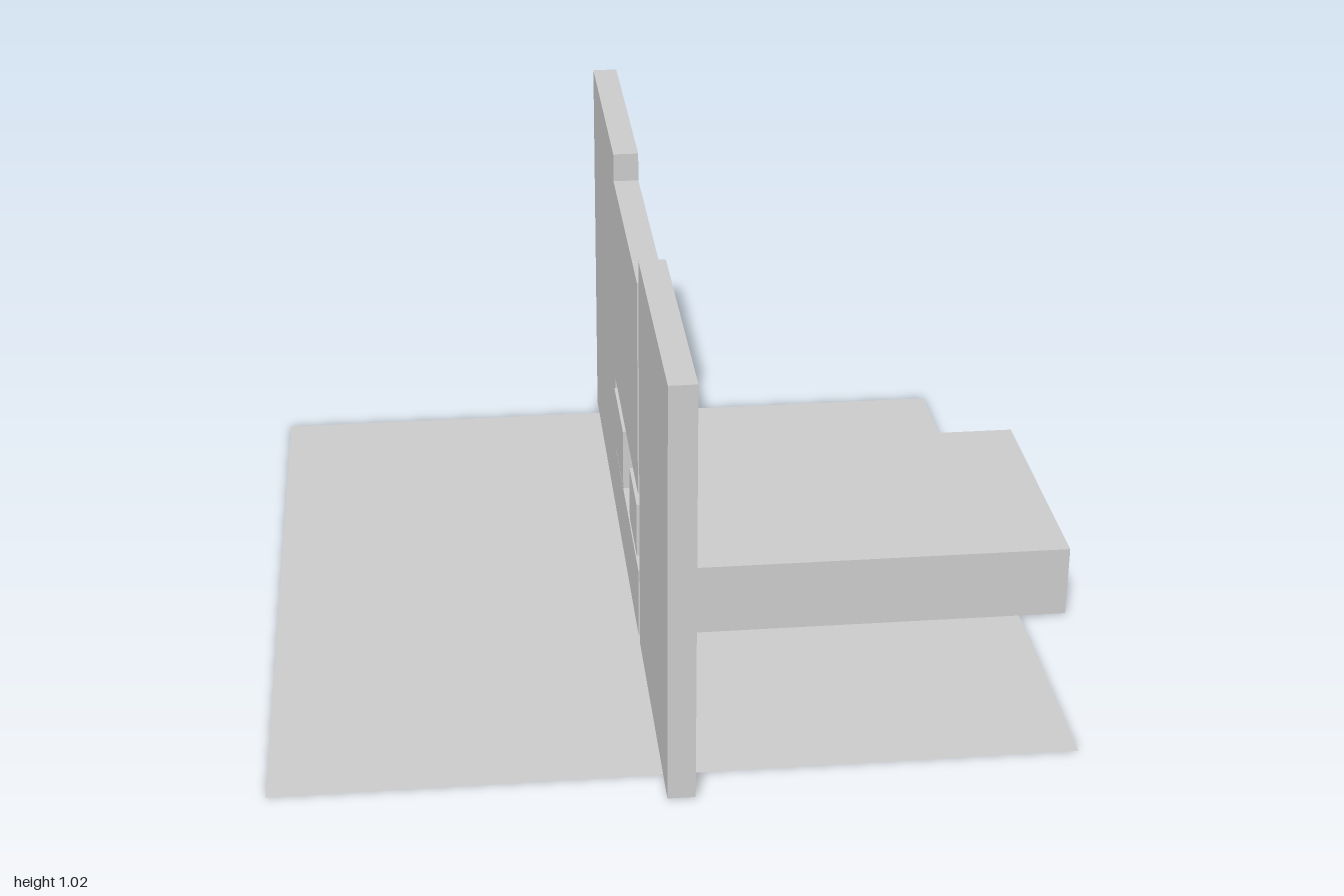
import * as THREE from 'three';

const material = new THREE.MeshStandardMaterial({ color: 0xcccccc, flatShading: true });

// Box given by its limits on each axis
function block(name, [x0, x1], [y0, y1], [z0, z1]) {
  const mesh = new THREE.Mesh(new THREE.BoxGeometry(x1 - x0, y1 - y0, z1 - z0), material);
  mesh.position.set((x0 + x1) / 2, (y0 + y1) / 2, (z0 + z1) / 2);
  mesh.name = name;
  return mesh;
}

export function createModel() {
  const model = new THREE.Group();
  model.name = 'wallWithPlatform';

  // Thin ground sheet, seen from both sides
  const sheet = material.clone();
  sheet.side = THREE.DoubleSide;
  const ground = new THREE.Mesh(new THREE.PlaneGeometry(1.84, 1.84), sheet);
  ground.rotation.x = -Math.PI / 2;
  ground.position.set(-0.06, 0, -0.02);
  ground.name = 'ground';
  model.add(ground);

  const wallX = [-0.094, -0.031];
  const pierX = [-0.097, -0.034];
  const base = 0.005;

  model.add(
    // Tall walls on either side of the opening
    block('frontWall', wallX, [base, 1.02], [0.343, 1]),
    block('backWall', wallX, [base, 1.02], [-1, -0.342]),
    // Upper panel bridging the opening
    block('upperPanel', wallX, [0.4, 0.948], [-0.342, 0.305]),
    // Small blocks between platform and panel
    block('frontPier', pierX, [0.226, 0.366], [0.108, 0.3]),
    block('backPier', pierX, [0.21, 0.371], [-0.335, -0.08]),
    // Low platform running out through the opening
    block('platform', [-0.094, 0.975], [base, 0.188], [-0.349, 0.308]),
  );
  return model;
}
